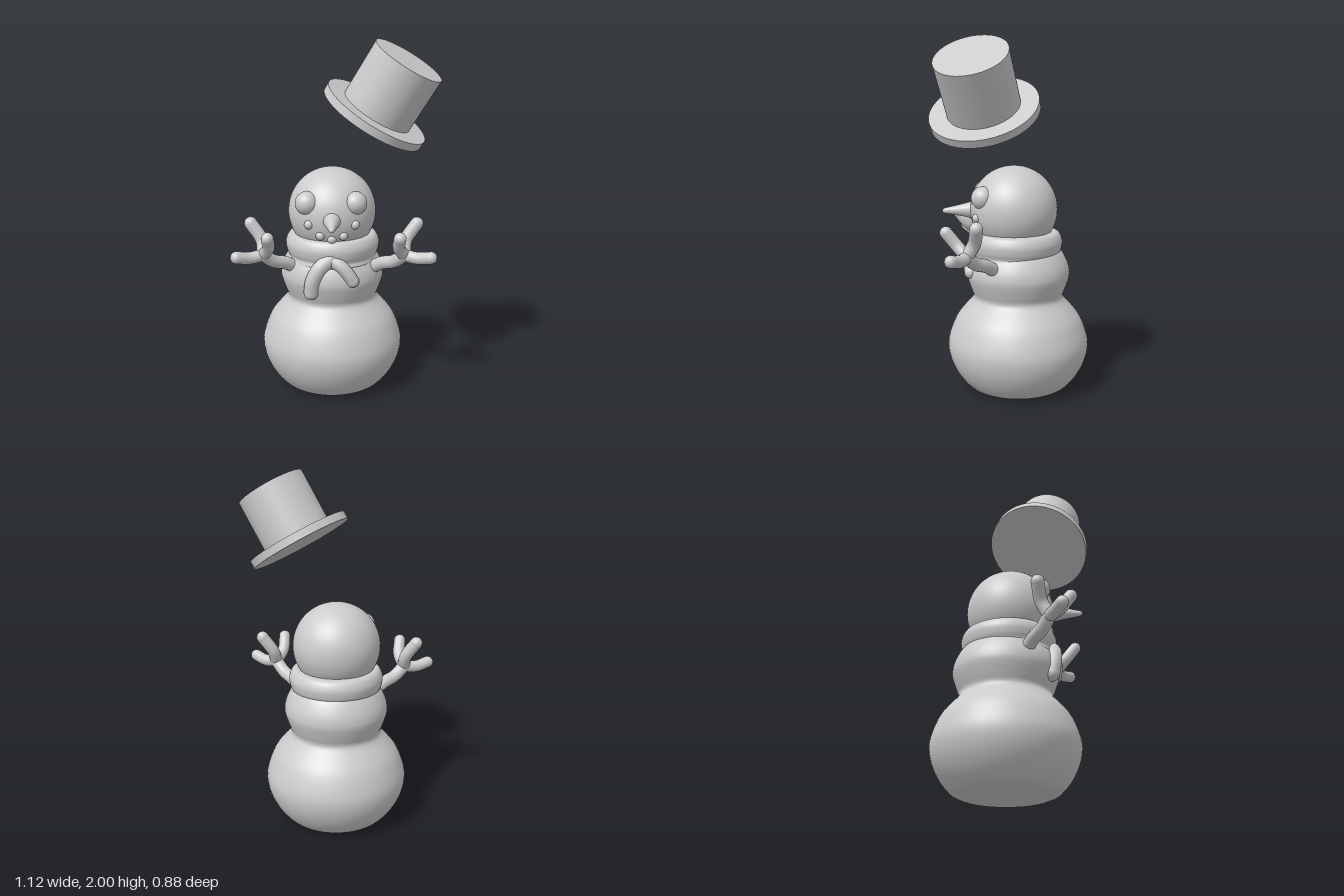
import * as THREE from 'three';

const material = new THREE.MeshStandardMaterial({ color: 0xcccccc });
const V = (x, y, z) => new THREE.Vector3(x, y, z);

function add(parent, geometry, name, x = 0, y = 0, z = 0) {
  const mesh = new THREE.Mesh(geometry, material);
  mesh.name = name;
  mesh.position.set(x, y, z);
  parent.add(mesh);
  return mesh;
}

// Smooth lathe through [radius, height] points, listed from bottom to top
function turned(points) {
  const curve = new THREE.SplineCurve(points.map(([r, y]) => new THREE.Vector2(r, y)));
  return new THREE.LatheGeometry(curve.getPoints(60), 64);
}

// Rounded tube through points, closed by a ball at each end
function limb(parent, points, radius, name) {
  const group = new THREE.Group();
  group.name = name;
  add(group, new THREE.TubeGeometry(new THREE.CatmullRomCurve3(points), 24, radius, 16), name + 'Tube');
  for (const p of [points[0], points[points.length - 1]]) {
    add(group, new THREE.SphereGeometry(radius, 16, 12), name + 'End', p.x, p.y, p.z);
  }
  parent.add(group);
}

// Front of the chest at a given x and y
function chest(x, y) {
  return V(x, y, -0.04 + Math.sqrt(Math.max(0.295 ** 2 - (x + 0.01) ** 2 - (y - 0.69) ** 2, 0)));
}

export function createModel() {
  const model = new THREE.Group();
  model.name = 'snowman';

  // Lower ball and chest, with a soft waist between them
  add(model, turned([
    [0.25, 0.003], [0.295, 0.025], [0.35, 0.09], [0.39, 0.17], [0.406, 0.25], [0.396, 0.32],
    [0.36, 0.41], [0.315, 0.47], [0.27, 0.52], [0.258, 0.55], [0.272, 0.59], [0.292, 0.65],
    [0.295, 0.69], [0.283, 0.74], [0.25, 0.8], [0.2, 0.85],
  ]), 'body', -0.01, 0, -0.035);
  const base = add(model, new THREE.CircleGeometry(0.25, 64), 'base', -0.01, 0.003, -0.035);
  base.rotation.x = Math.PI / 2;

  // Head
  add(model, new THREE.SphereGeometry(0.248, 64, 40), 'head', -0.01, 1.045, -0.01);

  // Scarf ring and its two tails
  add(model, turned([
    [0.2, 0.75], [0.253, 0.768], [0.251, 0.795], [0.262, 0.825], [0.267, 0.865],
    [0.255, 0.9], [0.235, 0.917], [0.19, 0.92],
  ]), 'scarf', -0.008, 0, -0.02);
  const knot = V(-0.02, 0.82, 0.215);
  limb(model, [knot, chest(-0.08, 0.77), chest(-0.115, 0.7), chest(-0.125, 0.63)], 0.042, 'scarfLongTail');
  limb(model, [knot, chest(0.04, 0.785), chest(0.08, 0.74), chest(0.105, 0.7)], 0.036, 'scarfShortTail');

  // Eyes
  for (const side of [-1, 1]) {
    add(model, new THREE.SphereGeometry(0.065, 32, 20), side > 0 ? 'leftEye' : 'rightEye',
      -0.015 + side * 0.133, 1.125, 0.16);
  }

  // Carrot nose with a rounded tip
  const nose = add(model, turned([
    [0.052, 0], [0.043, 0.04], [0.032, 0.09], [0.022, 0.14], [0.015, 0.175], [0.008, 0.186], [0, 0.188],
  ]), 'nose', -0.01, 1.04, 0.21);
  nose.rotation.x = Math.PI / 2 + 0.04;

  // Mouth made of small round stones
  for (let i = -2; i <= 2; i++) {
    const x = i * 0.063;
    const y = -0.113 + 0.02 * i * i;
    const z = Math.sqrt(0.242 ** 2 - x * x - y * y);
    add(model, new THREE.SphereGeometry(0.026, 16, 12), 'mouthStone', x - 0.01, y + 1.045, z - 0.01);
  }

  // Twig arms with three fingers, mirrored
  for (const side of [-1, 1]) {
    const arm = new THREE.Group();
    arm.name = side > 0 ? 'leftArm' : 'rightArm';
    const P = (x, y, z) => V(side * x, y, z);
    const hub = P(0.385, 0.85, 0.23);
    limb(arm, [P(0.2, 0.725, 0.08), P(0.27, 0.775, 0.135), P(0.33, 0.8, 0.185), hub], 0.037, 'forearm');
    limb(arm, [hub, P(0.455, 0.842, 0.26), P(0.523, 0.857, 0.302)], 0.034, 'outerFinger');
    limb(arm, [hub, P(0.395, 0.925, 0.19), P(0.455, 1.015, 0.175)], 0.036, 'upperFinger');
    limb(arm, [hub, P(0.352, 0.905, 0.285), P(0.352, 0.975, 0.342)], 0.034, 'innerFinger');
    model.add(arm);
  }

  // Top hat floating above the head, tilted toward its left front
  const hat = new THREE.Group();
  hat.name = 'hat';
  add(hat, new THREE.CylinderGeometry(0.3, 0.3, 0.046, 64), 'hatBrim');
  add(hat, new THREE.CylinderGeometry(0.2, 0.2, 0.34, 64), 'hatCrown', 0, 0.17, 0);
  hat.position.set(0.22, 1.608, 0.142);
  hat.quaternion.setFromUnitVectors(V(0, 1, 0), V(0.17, 0.288, 0.06).normalize());
  model.add(hat);

  return model;
}
